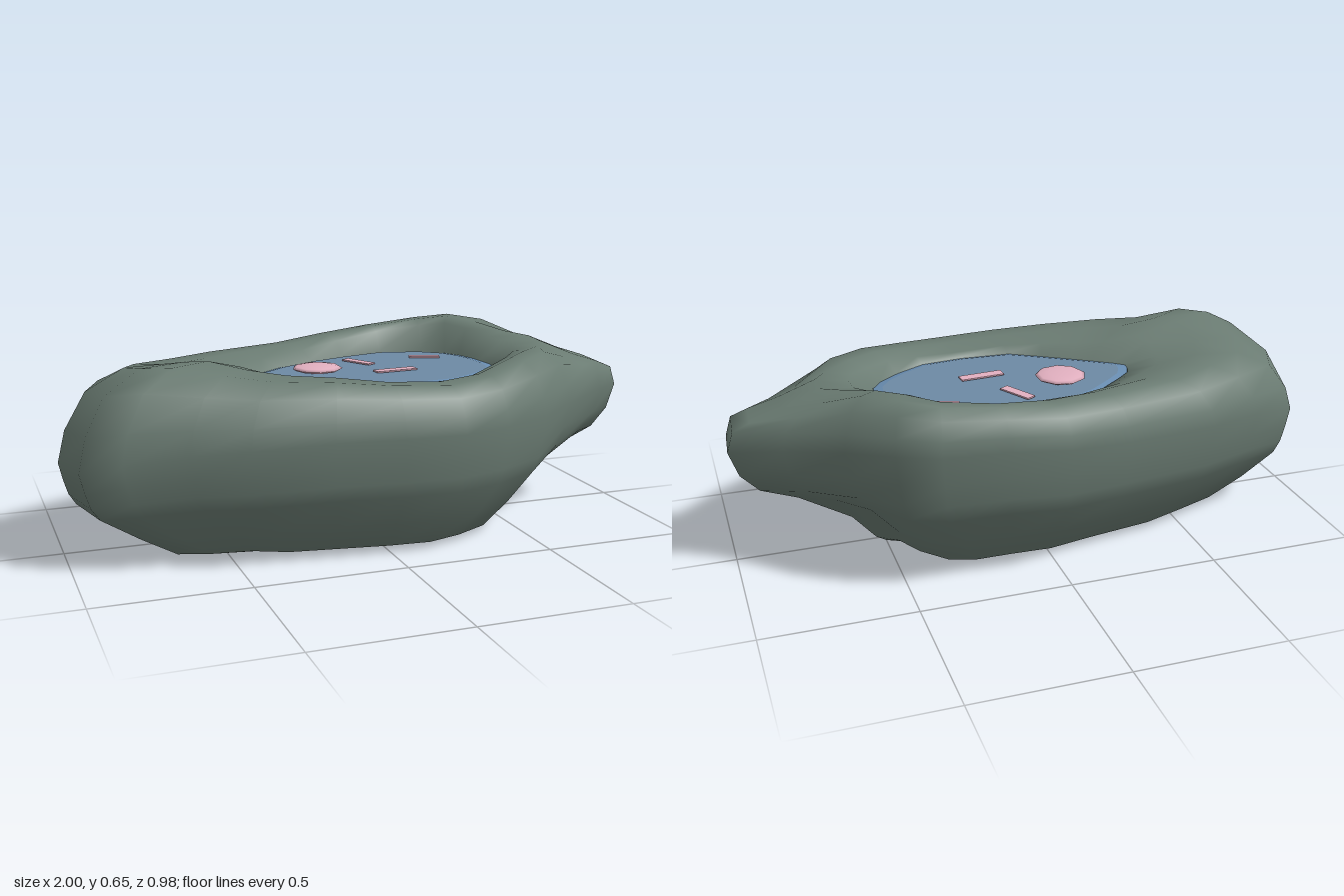
import * as THREE from 'three';

const { lerp, smoothstep } = THREE.MathUtils;

// Widest outline of the stone, from the right tip round the back:
// x, z, height, rim height, undercut of the side below
const OUTLINE = [
  [1, -0.09, 0.43, 0.61, 1], [0.84, -0.175, 0.45, 0.62, 1], [0.67, -0.31, 0.48, 0.645, 1.1],
  [0.54, -0.43, 0.50, 0.655, 1.3], [0.41, -0.485, 0.50, 0.64, 1.4], [0.2, -0.485, 0.49, 0.62, 1.4],
  [0, -0.49, 0.47, 0.6, 1.4], [-0.22, -0.43, 0.44, 0.585, 1.3], [-0.55, -0.36, 0.42, 0.58, 1.2],
  [-0.75, -0.27, 0.40, 0.58, 1.1], [-0.93, -0.18, 0.36, 0.585, 1], [-1, -0.02, 0.3, 0.60, 1],
  [-0.97, 0.25, 0.33, 0.63, 1.25], [-0.85, 0.315, 0.36, 0.635, 1.4], [-0.65, 0.35, 0.38, 0.605, 1.4],
  [-0.48, 0.425, 0.40, 0.59, 1.3], [-0.22, 0.455, 0.41, 0.58, 1.15], [0, 0.48, 0.41, 0.565, 1.05],
  [0.2, 0.49, 0.41, 0.555, 1], [0.37, 0.44, 0.41, 0.565, 1], [0.55, 0.35, 0.41, 0.59, 1],
  [0.7, 0.24, 0.42, 0.60, 1], [0.9, 0.105, 0.43, 0.60, 1], [0.99, 0.05, 0.43, 0.605, 1],
];

// Shore of the pool, point for point with the outline: x, z
const SHORE = [
  [0.50, -0.07], [0.495, -0.12], [0.475, -0.19], [0.44, -0.25], [0.37, -0.305], [0.22, -0.34],
  [0.06, -0.30], [-0.07, -0.255], [-0.20, -0.19], [-0.29, -0.12], [-0.34, -0.075], [-0.36, -0.03],
  [-0.365, 0], [-0.33, 0.03], [-0.27, 0.07], [-0.2, 0.115], [-0.12, 0.165], [-0.02, 0.225],
  [0.15, 0.235], [0.29, 0.22], [0.39, 0.165], [0.46, 0.11], [0.495, 0.06], [0.505, -0.01],
];

const WATER_Y = 0.53;

// Skin rings of points from bottom to top; optional centre points close the ends
function loft(rings, bottom, top) {
  const n = rings[0].length, pos = rings.flat(2), index = [];
  for (let r = 0; r < rings.length - 1; r++) {
    for (let j = 0; j < n; j++) {
      const k = (j + 1) % n, a = r * n + j, b = r * n + k;
      index.push(a, b, b + n, a, b + n, a + n);
    }
  }
  const cap = (centre, start, up) => {
    const c = pos.length / 3;
    pos.push(...centre);
    for (let j = 0; j < n; j++) {
      const a = start + j, b = start + (j + 1) % n;
      index.push(c, up ? a : b, up ? b : a);
    }
  };
  if (bottom) cap(bottom, 0, false);
  if (top) cap(top, (rings.length - 1) * n, true);
  const g = new THREE.BufferGeometry();
  g.setAttribute('position', new THREE.Float32BufferAttribute(pos, 3));
  g.setIndex(index);
  g.computeVertexNormals();
  return g;
}

// Underside: from the foot (0) out to the outline (1); the right tip has its own spread
const lowerRing = ([spread, h, tipSpread]) => OUTLINE.map(([x, z, y, , undercut]) => {
  const s = lerp(spread, tipSpread, smoothstep(x, 0.5, 0.95)) ** undercut;
  const footX = x < 0 ? x * 0.55 : x * 0.5;
  return [lerp(footX, x, s), y * h, lerp(z * 0.5 + 0.02, z, s)];
});

// Upper side: from the outline (0) over the rim to the shore (1); the tip has its own rise
const upperRing = ([s, rise, tipRise]) => OUTLINE.map(([x, z, y, rim], i) => {
  const h = lerp(rise, tipRise, smoothstep(x, 0.7, 0.95));
  return [lerp(x, SHORE[i][0], s), lerp(y, rim, h), lerp(z, SHORE[i][1], s)];
});

const shoreRing = (scale, y) => SHORE.map(([x, z]) =>
  [0.1 + (x - 0.1) * scale, y, -0.04 + (z + 0.04) * scale]);

export function createModel() {
  const group = new THREE.Group();
  const material = (name, color) => {
    const m = new THREE.MeshStandardMaterial({ color });
    m.name = name;
    return m;
  };
  const stone = material('mossy stone', 0x6a7b72);
  const water = material('water', 0x6d8aa5);
  const waterRim = material('water edge', 0x688cb0);
  const pink = material('petal pink', 0xe2b0c0);

  const add = (name, geometry, mat) => {
    const mesh = new THREE.Mesh(geometry, mat);
    mesh.name = name;
    group.add(mesh);
    return mesh;
  };

  // Hollowed boulder
  const lower = [[0, 0, 0], [0.38, 0.05, 0.07], [0.64, 0.27, 0.23], [0.89, 0.53, 0.58],
    [0.94, 0.65, 0.82], [0.97, 0.8, 0.94], [1, 1, 1]];
  const upper = [[0.04, 0.35, 0.37], [0.15, 0.75, 0.5], [0.35, 0.98, 0.68], [0.6, 0.98, 0.97],
    [0.82, 0.85, 0.9]];
  add('stoneBasin', loft([
    ...lower.map(lowerRing),
    ...upper.map(upperRing),
    shoreRing(1.02, WATER_Y),
    shoreRing(0.96, 0.46),
  ], [-0.1, 0, 0.03], [0.1, 0.44, -0.04]), stone);

  // Pool with a softly bevelled edge
  add('waterEdge', loft([shoreRing(1.02, WATER_Y - 0.006), shoreRing(0.94, WATER_Y)]), waterRim);
  add('waterSurface', loft([shoreRing(0.94, WATER_Y)], null, [0.1, WATER_Y, -0.04]), water);

  // Floating lens-shaped blossom and loose petals
  const blossom = add('blossom', new THREE.SphereGeometry(0.086, 9, 6), pink);
  blossom.scale.y = 0.16;
  blossom.position.set(-0.112, WATER_Y + 0.012, -0.06);
  for (const [x, z, length, width, turn] of [
    [0.068, -0.147, 0.125, 0.034, -1.07],
    [0.325, -0.16, 0.11, 0.03, -0.33],
    [0.137, 0.033, 0.15, 0.038, 0.08],
  ]) {
    const petal = add('petal', new THREE.BoxGeometry(length, 0.005, width), pink);
    petal.position.set(x, WATER_Y + 0.006, z);
    petal.rotation.y = turn;
  }
  return group;
}
